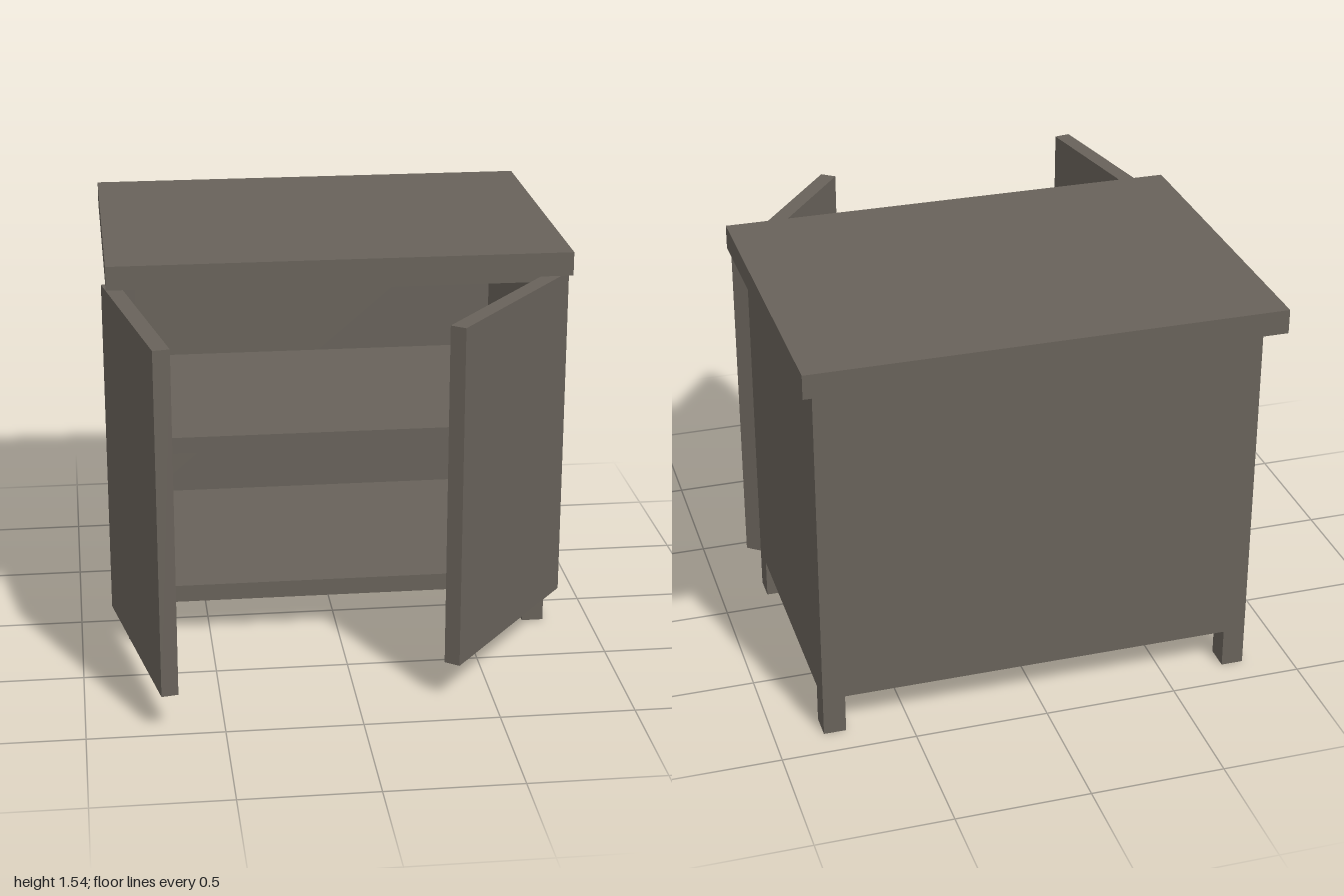
import * as THREE from 'three';

export function createModel() {
  const group = new THREE.Group();
  const darkWood = new THREE.MeshStandardMaterial({ color: 0x68625a });
  darkWood.name = 'darkWood';

  // Box given by its lower and upper corners
  function board(name, [x0, y0, z0], [x1, y1, z1], parent = group) {
    const mesh = new THREE.Mesh(new THREE.BoxGeometry(x1 - x0, y1 - y0, z1 - z0), darkWood);
    mesh.position.set((x0 + x1) / 2, (y0 + y1) / 2, (z0 + z1) / 2);
    mesh.name = name;
    parent.add(mesh);
    return mesh;
  }

  const W = 0.82, T = 0.062, back = -0.89, front = 0.18, low = 0.15, high = 1.446;

  // Overhanging worktop
  board('worktop', [-0.865, high, -1], [0.875, 1.536, 0.27]);

  // Carcass: side walls, back wall and three horizontal boards
  board('rightSide', [-W, low, back], [-W + T, high, front]);
  board('leftSide', [W - T, low, back], [W, high, front]);
  board('backPanel', [-W + T, low, back], [W - T, high, back + T]);
  for (const [name, y0, y1] of [['bottomBoard', low, 0.217], ['middleShelf', 0.767, 0.829], ['topBoard', 1.398, high]])
    board(name, [-W + T, y0, back + T], [W - T, y1, front]);

  // Four short legs, flush with the carcass corners
  const legW = 0.083, legD = 0.095;
  for (const x of [-W, W - legW])
    for (const z of [back, front - legD])
      board('leg', [x, 0, z], [x + legW, low, z + legD]);

  // Open doors, swung about the front corners of the carcass
  for (const [name, side, angle] of [['rightDoor', -1, 10.8], ['leftDoor', 1, 37.6]]) {
    const hinge = new THREE.Group();
    hinge.name = name;
    hinge.position.set(side * W, 0, front);
    hinge.rotation.y = -side * THREE.MathUtils.degToRad(angle);
    const x = side > 0 ? [0, T] : [-T, 0];
    board(name + 'Panel', [x[0], low, 0], [x[1], high, 0.82], hinge);
    group.add(hinge);
  }
  return group;
}
